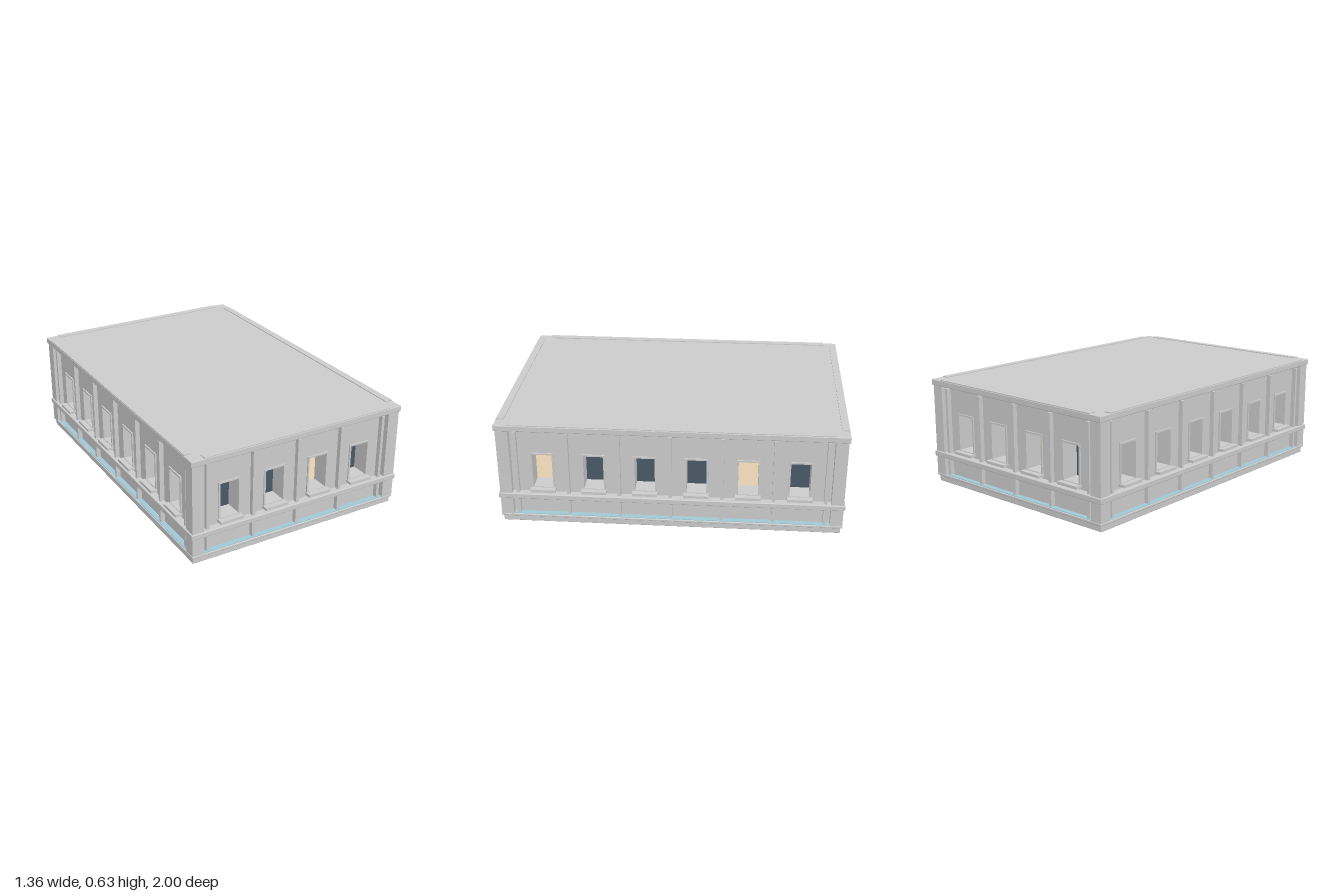
import * as THREE from 'three';
import { RoundedBoxGeometry } from 'three/addons/geometries/RoundedBoxGeometry.js';

const HALF_X = 0.68, HALF_Z = 1.0;
const grey = new THREE.MeshStandardMaterial({ color: 0xcccccc });
const darkGlass = new THREE.MeshStandardMaterial({ color: 0x4a5866 });
const litGlass = new THREE.MeshStandardMaterial({ color: 0xffe8c4 });
const paleBlue = new THREE.MeshStandardMaterial({ color: 0x9fc8d4 });

const WIN = { w: 0.115, y0: 0.222, y1: 0.432 };
const RECESS = 0.045;   // wall plane behind the outer edge
const REVEAL = 0.1;     // depth of the window openings

function add(parent, name, geometry, x, y, z, material = grey) {
  const mesh = new THREE.Mesh(geometry, material);
  mesh.name = name;
  mesh.position.set(x, y, z);
  parent.add(mesh);
  return mesh;
}

// Box given by its bottom and top heights and its front and back depths
function slab(parent, name, x, w, y0, y1, z0, z1, material = grey) {
  return add(parent, name, new THREE.BoxGeometry(w, y1 - y0, z1 - z0),
    x, (y0 + y1) / 2, (z0 + z1) / 2, material);
}

// Softly rounded course running round the whole building
function course(parent, name, halfX, halfZ, y0, y1) {
  add(parent, name, new RoundedBoxGeometry(halfX * 2, y1 - y0, halfZ * 2, 2, 0.004),
    0, (y0 + y1) / 2, 0);
}

function rect(target, x0, y0, x1, y1) {
  target.moveTo(x0, y0);
  target.lineTo(x1, y0);
  target.lineTo(x1, y1);
  target.lineTo(x0, y1);
  target.closePath();
  return target;
}

// One side of the building, facing +z at the given distance from the centre
function facade(name, distance, halfWall, pitch, lit) {
  const group = new THREE.Group();
  group.name = name;
  const count = lit.length;
  const wallZ = distance - RECESS;
  const centres = lit.map((_, i) => (i - (count - 1) / 2) * pitch);

  // Wall panel with deep openings
  const panel = rect(new THREE.Shape(), -halfWall - 0.01, 0.04, halfWall + 0.01, 0.6);
  centres.forEach((x) => panel.holes.push(
    rect(new THREE.Path(), x - WIN.w / 2, WIN.y0, x + WIN.w / 2, WIN.y1)));
  add(group, 'wall', new THREE.ExtrudeGeometry(panel, { depth: REVEAL, bevelEnabled: false }),
    0, 0, wallZ - REVEAL);

  // Windows: glass, surround and sill
  centres.forEach((x, i) => {
    slab(group, 'windowGlass', x, WIN.w + 0.01, WIN.y0 - 0.005, WIN.y1 + 0.005,
      wallZ - REVEAL - 0.01, wallZ - REVEAL + 0.002, lit[i] ? litGlass : darkGlass);
    const t = 0.01;
    const surround = rect(new THREE.Shape(),
      x - WIN.w / 2 - t, WIN.y0 - t, x + WIN.w / 2 + t, WIN.y1 + t);
    surround.holes.push(
      rect(new THREE.Path(), x - WIN.w / 2, WIN.y0, x + WIN.w / 2, WIN.y1));
    add(group, 'windowSurround',
      new THREE.ExtrudeGeometry(surround, { depth: 0.008, bevelEnabled: false }), 0, 0, wallZ);
    slab(group, 'windowSill', x, 0.145, 0.202, 0.218, wallZ - 0.01, distance - 0.003);
  });

  // Thin ribs between the bays
  for (let i = 0; i <= count; i++) {
    slab(group, 'wallRib', (i - count / 2) * pitch, 0.018, 0.055, 0.582,
      wallZ - 0.005, distance - 0.018);
  }

  // Light strip along the foot and raised kerb along the roof edge
  slab(group, 'footLightStrip', 0, halfWall * 2, 0.046, 0.053, wallZ, distance - 0.012, paleBlue);
  slab(group, 'roofKerb', 0, halfWall * 2, 0.62, 0.635, wallZ, distance - 0.002);
  return group;
}

export function createModel() {
  const model = new THREE.Group();
  model.name = 'building';

  // Horizontal courses from the ground up
  course(model, 'basePlinth', 0.665, 0.983, 0, 0.038);
  course(model, 'plinthLedge', 0.674, 0.994, 0.036, 0.05);
  const beltBars = [
    [0, HALF_Z - 0.035, HALF_X * 2, 0.07], [HALF_X - 0.035, 0, 0.07, HALF_Z * 2],
  ];
  for (const [x, z, w, d] of beltBars) {
    for (const s of [1, -1]) {
      add(model, 'beltCourse', new RoundedBoxGeometry(w, 0.032, d, 2, 0.004),
        x * s, 0.174, z * s);
    }
  }
  course(model, 'roofCornice', HALF_X, HALF_Z, 0.595, 0.63);

  // Corner piers
  for (const sx of [1, -1]) {
    for (const sz of [1, -1]) {
      add(model, 'cornerPier', new THREE.BoxGeometry(0.072, 0.56, 0.072),
        sx * 0.636, 0.32, sz * 0.956);
    }
  }

  // Short ends and long sides; opposite sides match by half a turn
  for (const turn of [0, Math.PI]) {
    const end = facade(turn ? 'backSide' : 'frontSide', HALF_Z, 0.6, 0.286, [0, 0, 1, 0]);
    end.rotation.y = turn;
    const side = facade(turn ? 'rightSide' : 'leftSide', HALF_X, 0.918, 0.296,
      [1, 0, 0, 0, 1, 0]);
    side.rotation.y = turn + Math.PI / 2;
    model.add(end, side);
  }
  return model;
}
